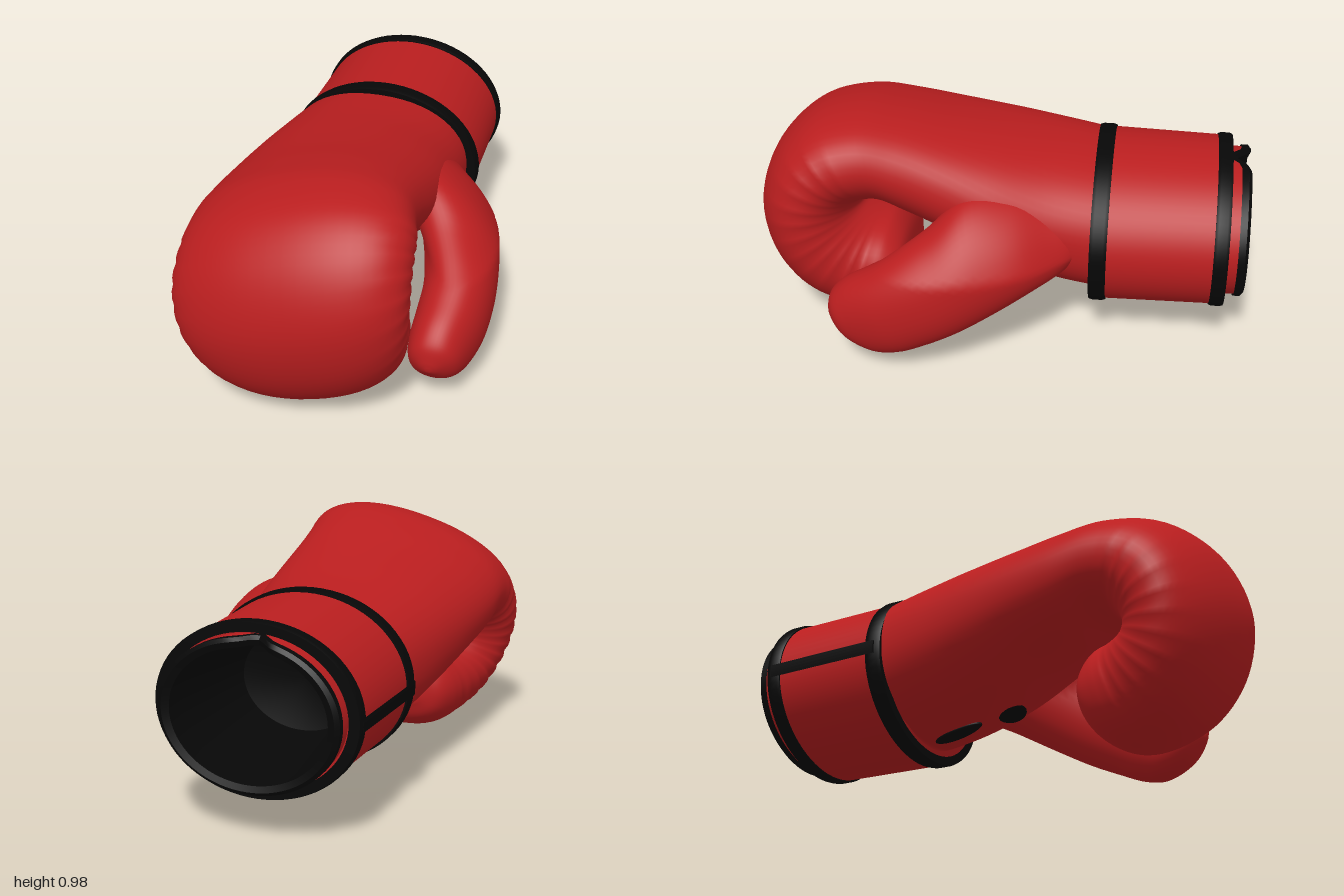
import * as THREE from 'three';
import { mergeVertices, toCreasedNormals } from 'three/addons/utils/BufferGeometryUtils.js';

const red = new THREE.MeshStandardMaterial({ color: 0xba1e1f });
red.name = 'red leather';
const black = new THREE.MeshStandardMaterial({ color: 0x070707, side: THREE.DoubleSide });
black.name = 'black trim';

// Lofts rounded sections. Each row: outer z, y, inner z, y, lowest x, highest x.
function loft(rows, power, adjust) {
  const steps = (rows.length - 1) * 6, around = 56;
  const outer = new THREE.CatmullRomCurve3(rows.map(r => new THREE.Vector3(r[4], r[1], r[0])));
  const inner = new THREE.CatmullRomCurve3(rows.map(r => new THREE.Vector3(r[5], r[3], r[2])));
  const soft = v => Math.sign(v) * Math.abs(v) ** (2 / power);
  const pos = [], index = [];
  for (let i = -1; i <= steps + 1; i++) {
    const t = THREE.MathUtils.clamp(i / steps, 0, 1);
    const o = outer.getPoint(t), n = inner.getPoint(t);
    const size = i < 0 || i > steps ? 0 : 1; // both ends close to a point
    for (let j = 0; j < around; j++) {
      const a = j / around * Math.PI * 2;
      const c = soft(Math.cos(a)) * size / 2, s = soft(Math.sin(a)) * size / 2;
      const p = new THREE.Vector3(
        (o.x + n.x) / 2 + (n.x - o.x) * s,
        (o.y + n.y) / 2 + (o.y - n.y) * c,
        (o.z + n.z) / 2 + (o.z - n.z) * c);
      adjust(p, t * (rows.length - 1), Math.sin(a), i);
      pos.push(p.x, p.y, p.z);
      if (i <= steps) {
        const k = (i + 1) * around, j2 = (j + 1) % around;
        index.push(k + j, k + around + j, k + j2, k + j2, k + around + j, k + around + j2);
      }
    }
  }
  let geo = new THREE.BufferGeometry();
  geo.setAttribute('position', new THREE.Float32BufferAttribute(pos, 3));
  geo.setIndex(index);
  geo = mergeVertices(geo);
  geo.computeVertexNormals();
  return geo;
}

// Oval band around the wrist. Profile points: radius, z.
function band(profile, start = 0, length = Math.PI * 2) {
  const points = profile.map(([r, z]) => new THREE.Vector2(r, z));
  const geo = new THREE.LatheGeometry(points, length > 1 ? 72 : 4, start, length);
  geo.rotateX(Math.PI / 2).scale(1.22, 1, 1).translate(-0.075, 0.49, 0);
  // V-shaped opening in the rear edge of the lining
  const p = geo.attributes.position;
  for (let i = 0; i < p.count; i++) {
    if (p.getZ(i) < -0.93 && p.getY(i) > 0.6)
      p.setZ(i, p.getZ(i) + 0.06 * Math.exp(-(((p.getX(i) + 0.1) / 0.045) ** 2)));
  }
  return toCreasedNormals(geo, 0.7);
}

export function createModel() {
  const glove = new THREE.Group();
  glove.name = 'boxingGlove';
  const add = (name, geo, mat) => {
    const mesh = new THREE.Mesh(geo, mat);
    mesh.name = name;
    glove.add(mesh);
    return mesh;
  };

  // Back of the hand, curling forward and under into the fingers
  const handRows = [
    [-0.42, 0.80, -0.42, 0.22, -0.47, 0.30],
    [-0.20, 0.83, -0.20, 0.26, -0.505, 0.31],
    [0.00, 0.865, 0.02, 0.33, -0.525, 0.33],
    [0.20, 0.90, 0.20, 0.41, -0.53, 0.345],
    [0.40, 0.935, 0.38, 0.48, -0.525, 0.37],
    [0.58, 0.95, 0.48, 0.525, -0.515, 0.40],
    [0.78, 0.90, 0.54, 0.53, -0.52, 0.43],
    [0.93, 0.75, 0.57, 0.52, -0.545, 0.42],
    [1.00, 0.52, 0.58, 0.50, -0.555, 0.39],
    [0.95, 0.28, 0.57, 0.485, -0.545, 0.345],
    [0.82, 0.11, 0.54, 0.475, -0.52, 0.295],
    [0.65, 0.03, 0.50, 0.465, -0.48, 0.25],
    [0.52, 0.025, 0.45, 0.45, -0.455, 0.23],
    [0.43, 0.08, 0.40, 0.39, -0.41, 0.19],
    [0.39, 0.17, 0.38, 0.28, -0.32, 0.10],
  ];
  const shapeHand = (p, row, side, i) => {
    // stitched pleats where the padding folds at the sides
    if (row > 5.5 && row < 11.5)
      p.x += Math.sign(side) * Math.abs(side) ** 4 * 0.005 * (i % 3 === 0 ? -1 : 0.4);
    // the fist rolls gradually toward the front
    const roll = 0.28 * THREE.MathUtils.smoothstep(p.z, -0.38, 0.5);
    const x = p.x + 0.1, y = p.y - 0.49;
    p.x = -0.1 + x * Math.cos(roll) - y * Math.sin(roll);
    p.y = 0.49 + x * Math.sin(roll) + y * Math.cos(roll);
  };
  add('fist', loft(handRows, 2.2, shapeHand), red);

  // Thumb, its upper edge leaning in toward the hand
  const thumbRows = [
    [-0.36, 0.66, -0.36, 0.50, 0.10, 0.27],
    [-0.22, 0.70, -0.28, 0.42, 0.10, 0.36],
    [-0.05, 0.745, -0.17, 0.37, 0.13, 0.47],
    [0.12, 0.74, -0.02, 0.29, 0.21, 0.54],
    [0.26, 0.63, 0.13, 0.21, 0.27, 0.575],
    [0.38, 0.55, 0.26, 0.15, 0.30, 0.585],
    [0.50, 0.47, 0.36, 0.105, 0.30, 0.575],
    [0.60, 0.40, 0.46, 0.085, 0.30, 0.545],
    [0.65, 0.34, 0.57, 0.13, 0.32, 0.51],
    [0.665, 0.275, 0.64, 0.20, 0.37, 0.45],
    [0.665, 0.245, 0.66, 0.225, 0.40, 0.42],
  ];
  add('thumb', loft(thumbRows, 2.15, p => { p.x -= 0.5 * Math.max(0, p.y - 0.5); }), red);

  // Wrist strap and its black binding
  add('wristStrap', band([[0.27, -0.9], [0.326, -0.9], [0.335, -0.4], [0.28, -0.385]]), red);
  const trim = (r, z, w) => [[r - 0.03, z - w], [r + 0.005, z - w], [r + 0.009, z - w * 0.6],
    [r + 0.009, z + w * 0.6], [r + 0.005, z + w], [r - 0.03, z + w]];
  add('frontBinding', band(trim(0.335, -0.41, 0.034)), black);
  add('rearBinding', band(trim(0.326, -0.892, 0.029)), black);
  add('strapEndBinding', band([[0.31, -0.9], [0.336, -0.9], [0.35, -0.4], [0.31, -0.4]],
    Math.PI * 1.5 - 0.06, 0.16), black);

  // Inner cuff, with a dark lining that turns over its rear edge
  add('innerCuff', band([[0.284, -0.975], [0.29, -0.85]]), red);
  add('lining', band([[0, -0.45], [0.2, -0.5], [0.25, -0.9], [0.255, -0.99],
    [0.278, -1.0], [0.292, -0.988], [0.292, -0.96]]), black);

  // Dark slits on the palm beside the strap
  for (const [x, y, z, w, d, tilt] of [[0.02, 0.325, -0.04, 0.075, 0.06, 0.32],
    [-0.05, 0.25, -0.25, 0.04, 0.11, 0.22]]) {
    const slit = add('palmSlit', new THREE.SphereGeometry(1, 20, 12), black);
    slit.position.set(x, y, z);
    slit.scale.set(w, 0.02, d);
    slit.rotation.x = -tilt;
  }
  return glove;
}
